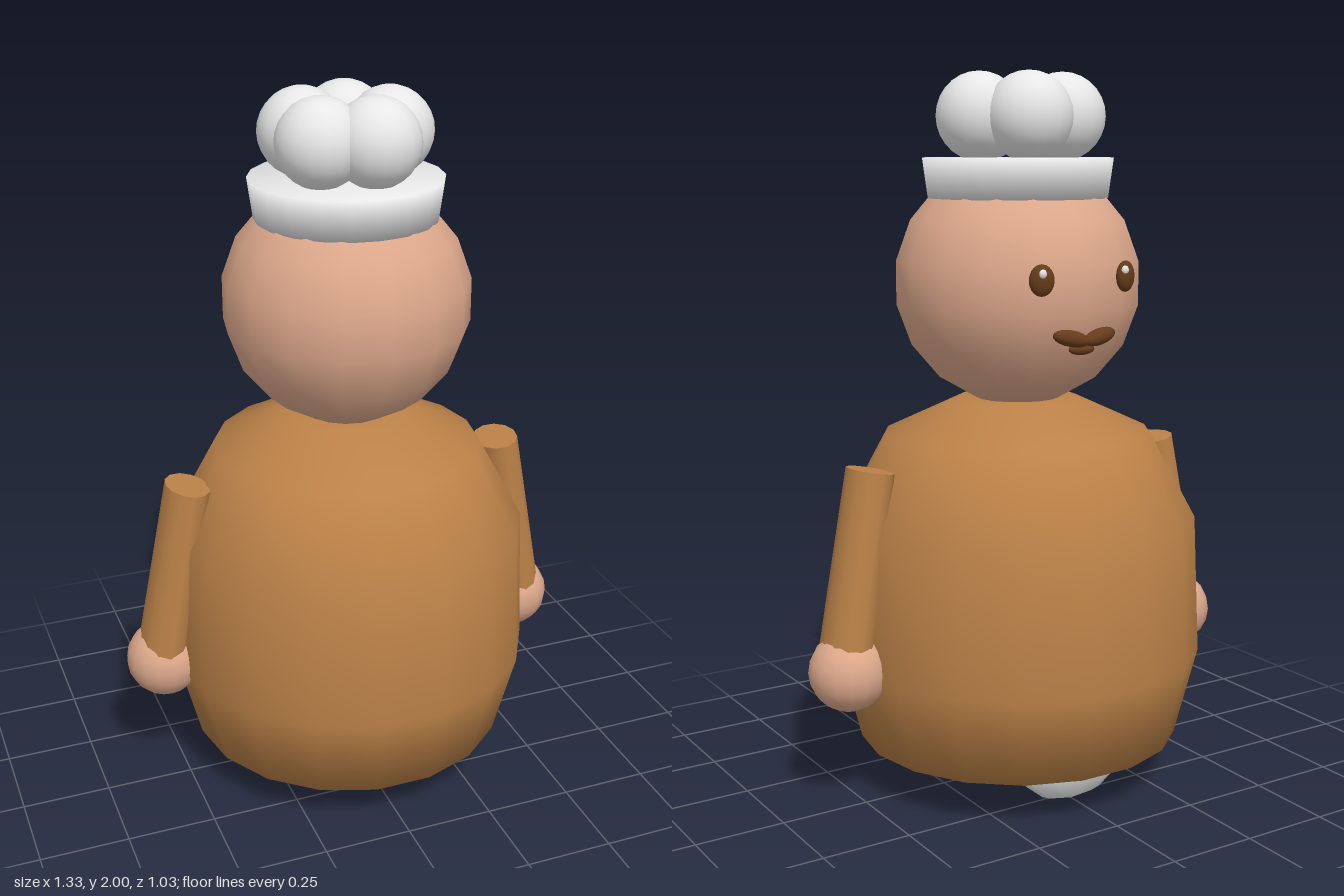
import * as THREE from 'three';

const mat = (name, color) => {
  const m = new THREE.MeshStandardMaterial({ color });
  m.name = name;
  return m;
};

export function createModel() {
  const group = new THREE.Group();
  const brown = mat('coatBrown', 0xbc8248);
  const skin = mat('skin', 0xdda88b);
  const white = mat('white', 0xf2f2f2);
  const dark = mat('darkBrown', 0x653c1a);

  const add = (name, geometry, material) => {
    const mesh = new THREE.Mesh(geometry, material);
    mesh.name = name;
    group.add(mesh);
    return mesh;
  };
  const ellipsoid = (name, material, pos, radii, w = 16, h = 10) => {
    const mesh = add(name, new THREE.SphereGeometry(1, w, h), material);
    mesh.position.set(...pos);
    mesh.scale.set(...radii);
    return mesh;
  };
  const lathe = (points, segments) =>
    new THREE.LatheGeometry(points.map(p => new THREE.Vector2(...p)), segments);

  // Round coat with closed, softly shaded base
  add('body', lathe([[0, 0.13], [0.458, 0.13], [0.522, 0.38], [0.505, 0.77],
    [0.375, 1.01], [0.17, 1.105], [0, 1.105]], 18), brown).rotation.y = Math.PI / 2;

  // Head
  ellipsoid('head', skin, [0, 1.43, 0], [0.345, 0.345, 0.345], 16, 9);

  // Hat band and five puffs
  add('hatBand', lathe([[0, 1.66], [0.25, 1.66], [0.265, 1.77], [0, 1.77]], 20), white);
  for (let i = 0; i < 5; i++) {
    const a = i * Math.PI * 2 / 5;
    ellipsoid('hatPuff', white, [0.122 * Math.cos(a), 1.88, 0.122 * Math.sin(a)],
      [0.12, 0.12, 0.12], 18, 14);
  }

  // Moustache halves, sleeves, hands, eyes and feet, mirrored
  for (const s of [-1, 1]) {
    const top = new THREE.Vector3(s * 0.47, 0.943, 0);
    const end = new THREE.Vector3(s * 0.56, 0.44, -0.012);
    const sleeve = add('sleeve', new THREE.CylinderGeometry(0.08, 0.09, top.distanceTo(end), 12), brown);
    sleeve.position.copy(top).add(end).multiplyScalar(0.5);
    sleeve.quaternion.setFromUnitVectors(new THREE.Vector3(0, 1, 0), top.clone().sub(end).normalize());
    sleeve.scale.set(0.78, 1, 1);
    ellipsoid('hand', skin, [s * 0.555, 0.4, -0.02], [0.11, 0.11, 0.11]);

    const eye = ellipsoid('eye', dark, [s * 0.133, 1.46, -0.325], [0.034, 0.042, 0.02]);
    eye.rotation.y = s * -0.39;
    ellipsoid('eyeGlint', white, [s * 0.13 + 0.01, 1.478, -0.342], [0.012, 0.012, 0.008], 8, 6);

    const half = ellipsoid('moustacheHalf', dark, [s * 0.045, 1.305, -0.333], [0.055, 0.022, 0.022]);
    half.rotation.set(0, s * -0.15, s * 0.2);

    ellipsoid('foot', dark, [s * 0.17, 0.19, -0.09], [0.12, 0.085, 0.17]);
  }
  ellipsoid('mouth', dark, [0, 1.272, -0.315], [0.04, 0.015, 0.018]);

  // Apron tip hanging under the coat
  ellipsoid('apron', white, [0, 0.3, -0.28], [0.25, 0.3, 0.095], 12, 8);

  return group;
}
